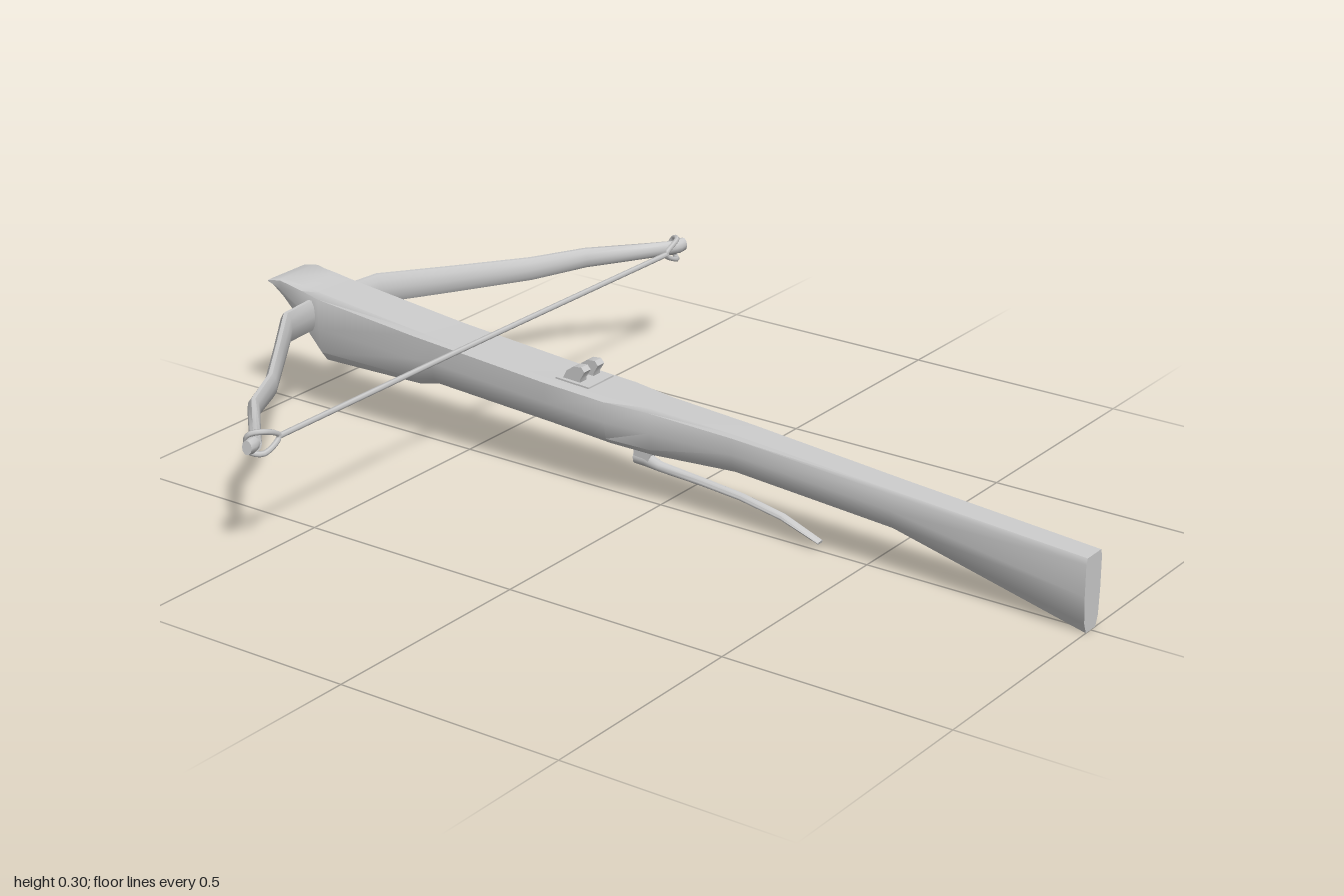
import * as THREE from 'three';
import { toCreasedNormals } from 'three/addons/utils/BufferGeometryUtils.js';

const material = new THREE.MeshStandardMaterial({ color: 0xcccccc });
const V = (x, y, z) => new THREE.Vector3(x, y, z);

function addMesh(parent, name, geometry) {
  const mesh = new THREE.Mesh(geometry, material);
  mesh.name = name;
  parent.add(mesh);
  return mesh;
}

// Closed skin through equal-length rings of points, capped at both ends
function loft(rings, crease = 0.7) {
  const n = rings[0].length;
  const points = rings.flat();
  const index = [];
  for (let i = 0; i < rings.length - 1; i++) {
    for (let j = 0; j < n; j++) {
      const a = i * n + j, b = i * n + (j + 1) % n;
      index.push(a, a + n, b + n, a, b + n, b);
    }
  }
  const last = (rings.length - 1) * n;
  for (let j = 1; j < n - 1; j++) {
    index.push(0, j, j + 1, last, last + j + 1, last + j);
  }
  const geometry = new THREE.BufferGeometry().setFromPoints(points);
  geometry.setIndex(index);
  return toCreasedNormals(geometry, crease);
}

// Oval rod along stations [x, y, z, half thickness, half height]
function ovalRod(stations, sides = 10) {
  const centres = stations.map(([x, y, z]) => V(x, y, z));
  const rings = stations.map(([, , , w, h], i) => {
    const dir = centres[Math.min(i + 1, centres.length - 1)].clone()
      .sub(centres[Math.max(i - 1, 0)]).normalize();
    const side = dir.clone().cross(V(0, 1, 0)).normalize();
    const up = side.clone().cross(dir);
    return Array.from({ length: sides }, (_, j) => {
      const t = (j / sides) * Math.PI * 2;
      return centres[i].clone().addScaledVector(side, w * Math.cos(t)).addScaledVector(up, h * Math.sin(t));
    });
  });
  return loft(rings, 0.9);
}

function cord(points, radius, closed = false) {
  const path = new THREE.CatmullRomCurve3(points, closed, 'centripetal');
  return new THREE.TubeGeometry(path, points.length * 4, radius, 6, closed);
}

// Side profile cut to a width centred on x
function sideCut(profile, width, x) {
  const shape = new THREE.Shape(profile.map(([z, y]) => new THREE.Vector2(z, y)));
  const geometry = new THREE.ExtrudeGeometry(shape, { depth: width, bevelEnabled: false });
  geometry.rotateY(-Math.PI / 2).translate(x + width / 2, 0, 0);
  return toCreasedNormals(geometry, 0.7);
}

export function createModel() {
  const model = new THREE.Group();
  model.name = 'crossbow';

  // Stock: flat top, rounded belly; stations are z, half width, bottom, top
  const section = [
    [1, 0.5], [1, 0.92], [0.85, 1], [-0.85, 1], [-1, 0.92],
    [-1, 0.5], [-0.88, 0.14], [-0.6, 0], [0.6, 0], [0.88, 0.14],
  ];
  const stations = [
    [1, 0.03, 0.005, 0.163],
    [0.57, 0.034, 0.11, 0.193],
    [0.2, 0.039, 0.137, 0.221],
    [0, 0.045, 0.125, 0.231],
    [-0.1, 0.06, 0.13, 0.236],
    [-0.25, 0.061, 0.14, 0.243],
    [-0.55, 0.061, 0.156, 0.265],
    [-0.6, 0.061, 0.144, 0.27],
    [-0.86, 0.061, 0.139, 0.297],
    [-0.905, 0.061, 0.195, 0.303],
    [-0.965, 0.061, 0.262, 0.309],
    [-1, 0.061, 0.293, 0.3],
  ];
  addMesh(model, 'stock', loft(stations.map(([z, w, bottom, top]) =>
    section.map(([u, v]) => V(u * w, bottom + v * (top - bottom), z)))));

  // Bow limbs with string loops at their tips
  for (const s of [1, -1]) {
    const side = s > 0 ? 'left' : 'right';
    addMesh(model, side + 'Limb', ovalRod([
      [s * 0.06, 0.244, -0.882, 0.013, 0.036],
      [s * 0.15, 0.245, -0.872, 0.014, 0.035],
      [s * 0.29, 0.248, -0.768, 0.013, 0.031],
      [s * 0.43, 0.252, -0.665, 0.013, 0.027],
      [s * 0.55, 0.256, -0.603, 0.013, 0.023],
      [s * 0.65, 0.262, -0.51, 0.012, 0.018],
      [s * 0.7, 0.266, -0.462, 0.012, 0.016],
    ]));
    addMesh(model, side + 'Nock', ovalRod([
      [s * 0.695, 0.266, -0.468, 0.012, 0.014],
      [s * 0.712, 0.266, -0.463, 0.013, 0.017],
      [s * 0.728, 0.267, -0.46, 0.011, 0.015],
    ]));
    addMesh(model, side + 'StringLoop', cord([
      V(s * 0.645, 0.267, -0.45),
      V(s * 0.69, 0.29, -0.452),
      V(s * 0.708, 0.284, -0.474),
      V(s * 0.706, 0.266, -0.482),
      V(s * 0.708, 0.25, -0.474),
      V(s * 0.69, 0.244, -0.452),
    ], 0.006, true));
  }

  // Drawn string
  addMesh(model, 'string', cord([V(-0.65, 0.267, -0.45), V(0, 0.269, -0.45), V(0.65, 0.267, -0.45)], 0.006));

  // Nut: plate let into the stock with two hooked prongs
  addMesh(model, 'nutPlate', sideCut(
    [[-0.15, 0.225], [-0.15, 0.242], [-0.235, 0.246], [-0.235, 0.225]], 0.085, 0));
  for (const x of [-0.023, 0.023]) {
    addMesh(model, 'nutProng', sideCut([
      [-0.225, 0.225], [-0.18, 0.225], [-0.178, 0.25], [-0.167, 0.268],
      [-0.175, 0.277], [-0.195, 0.275], [-0.212, 0.263], [-0.222, 0.245],
    ], 0.022, x));
  }

  // Long curved trigger lever with its pivot
  addMesh(model, 'triggerLever', ovalRod([
    [0, 0.1, -0.062, 0.012, 0.017],
    [0, 0.098, -0.035, 0.012, 0.016],
    [0, 0.09, 0, 0.011, 0.011],
    [0, 0.083, 0.1, 0.01, 0.009],
    [0, 0.074, 0.2, 0.01, 0.008],
    [0, 0.056, 0.3, 0.01, 0.007],
    [0, 0.024, 0.39, 0.009, 0.004],
  ]));
  addMesh(model, 'triggerPivot', sideCut(
    [[-0.062, 0.095], [-0.025, 0.095], [-0.015, 0.135], [-0.058, 0.135]], 0.022, 0));

  return model;
}
